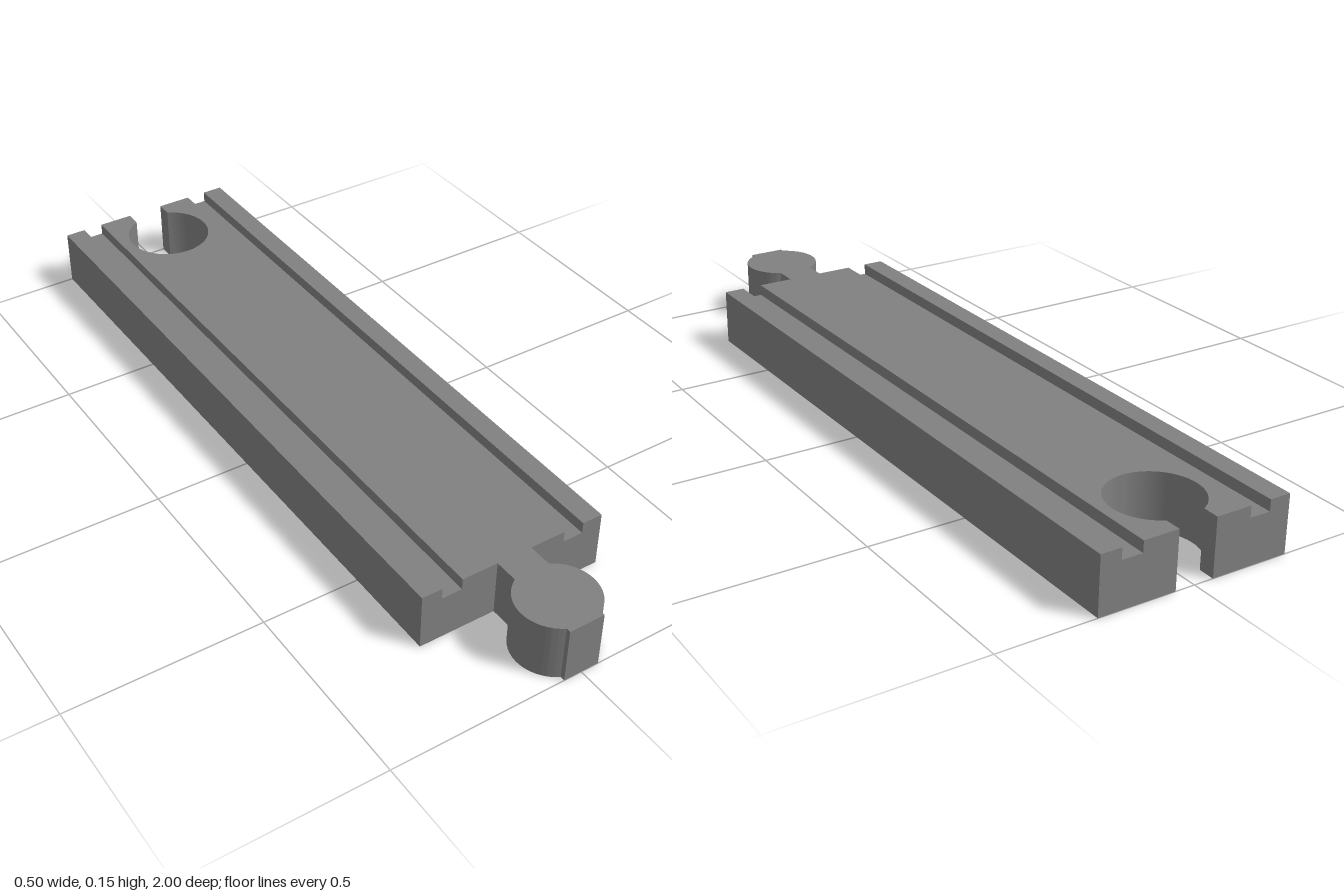
import * as THREE from 'three';
import { toCreasedNormals } from 'three/addons/utils/BufferGeometryUtils.js';

const HEIGHT = 0.147, GROOVE_Y = 0.118;
const HALF_WIDTH = 0.25, GROOVE_IN = 0.142, GROOVE_OUT = 0.196;
const BACK = -1, BODY_FRONT = 0.75, FRONT = 1;

// Middle strip in plan (shape y is -z): socket at the back, neck and knob at the front
function centreGeometry() {
  const neck = 0.047, knobR = 0.1, knobZ = 0.9;
  const slot = 0.05, holeR = 0.113, holeZ = -0.856;
  const a = Math.acos(neck / knobR);
  const b = Math.asin(slot / holeR);
  const s = new THREE.Shape();
  s.moveTo(-slot, -BACK);
  s.lineTo(-GROOVE_IN, -BACK);
  s.lineTo(-GROOVE_IN, -BODY_FRONT);
  s.lineTo(-neck, -BODY_FRONT);
  s.absarc(0, -knobZ, knobR, Math.PI - a, Math.PI + a, false);
  s.lineTo(-neck, -FRONT);
  s.lineTo(neck, -FRONT);
  s.absarc(0, -knobZ, knobR, -a, a, false);
  s.lineTo(neck, -BODY_FRONT);
  s.lineTo(GROOVE_IN, -BODY_FRONT);
  s.lineTo(GROOVE_IN, -BACK);
  s.lineTo(slot, -BACK);
  s.absarc(0, -holeZ, holeR, Math.PI / 2 - b, Math.PI / 2 + b, true);
  s.closePath();
  const g = new THREE.ExtrudeGeometry(s, { depth: HEIGHT, bevelEnabled: false, curveSegments: 32 });
  g.rotateX(-Math.PI / 2);
  return toCreasedNormals(g, 0.5);
}

// Side strip cross-section: groove floor and raised outer rail, run along z
function sideGeometry(side) {
  const profile = [
    [GROOVE_IN, 0], [HALF_WIDTH, 0], [HALF_WIDTH, HEIGHT],
    [GROOVE_OUT, HEIGHT], [GROOVE_OUT, GROOVE_Y], [GROOVE_IN, GROOVE_Y],
  ];
  const s = new THREE.Shape(profile.map(([x, y]) => new THREE.Vector2(side * x, y)));
  const g = new THREE.ExtrudeGeometry(s, { depth: BODY_FRONT - BACK, bevelEnabled: false });
  g.translate(0, 0, BACK);
  return g;
}

export function createModel() {
  const grey = new THREE.MeshStandardMaterial({ color: 0x808080 });
  grey.name = 'grey';
  const model = new THREE.Group();
  model.name = 'trackPiece';
  const add = (name, geometry) => {
    const mesh = new THREE.Mesh(geometry, grey);
    mesh.name = name;
    model.add(mesh);
  };
  add('centreWithConnectors', centreGeometry());
  add('leftRail', sideGeometry(1));
  add('rightRail', sideGeometry(-1));
  return model;
}
